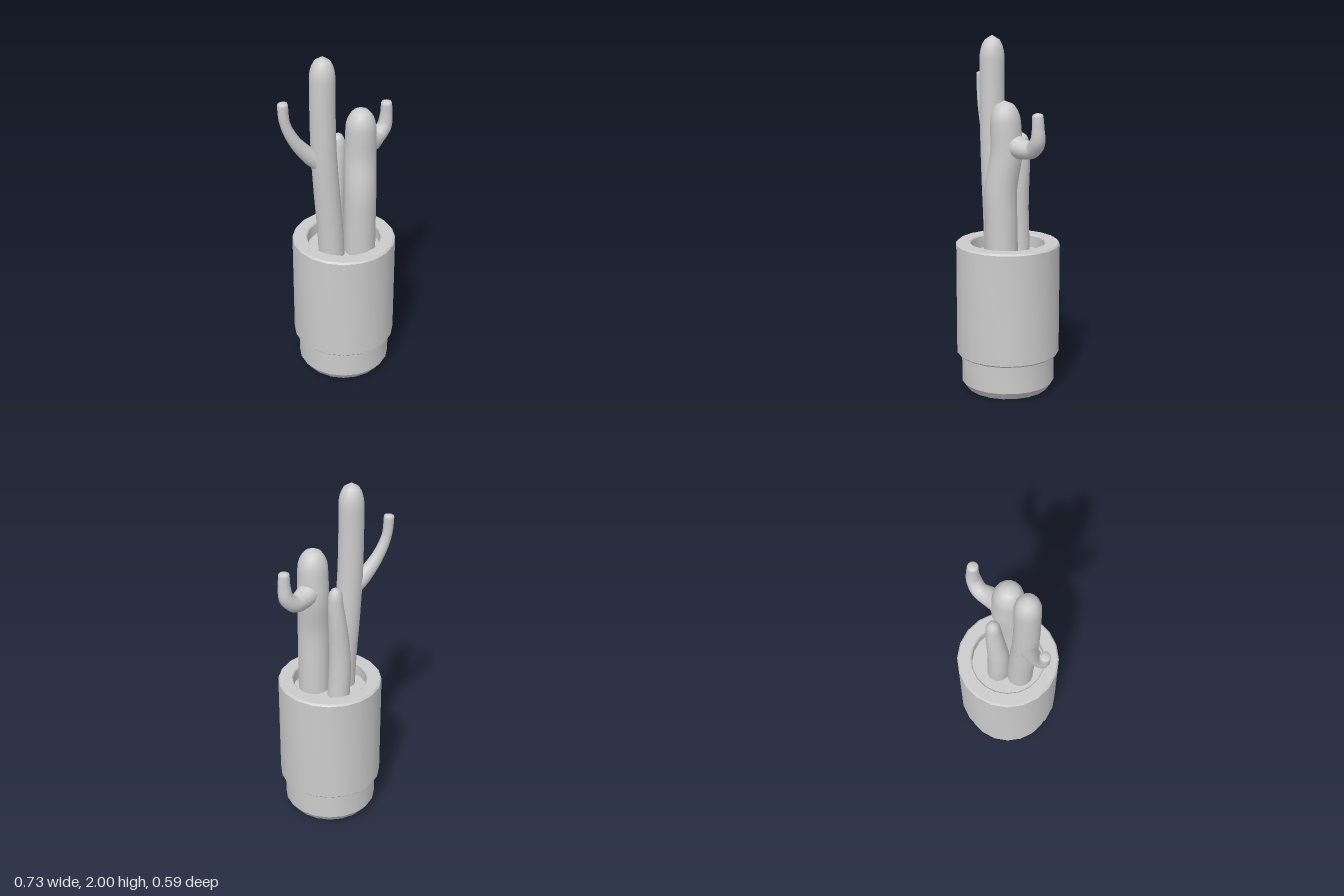
import * as THREE from 'three';
import { mergeVertices, toCreasedNormals } from 'three/addons/utils/BufferGeometryUtils.js';

const material = new THREE.MeshStandardMaterial({ color: 0xcccccc });
const SIDES = 20;

function mesh(name, geometry) {
  const m = new THREE.Mesh(geometry, material);
  m.name = name;
  return m;
}

// Surface of revolution with crisp rims
function turned(name, profile) {
  const points = profile.map(([r, y]) => new THREE.Vector2(r, y));
  return mesh(name, toCreasedNormals(new THREE.LatheGeometry(points, SIDES), 0.5));
}

// Tapered stem along stations [x, y, z, radius], closed by a dome of given length
function stem(name, stations, dome, sides = 16) {
  const rings = 48;
  const curve = new THREE.CatmullRomCurve3(stations.map(([x, y, z]) => new THREE.Vector3(x, y, z)));
  const length = curve.getLength();
  const geometry = new THREE.TubeGeometry(curve, rings, 1, sides);
  const pos = geometry.attributes.position;
  const v = new THREE.Vector3();
  for (let i = 0; i <= rings; i++) {
    const u = i / rings;
    const centre = curve.getPointAt(u);
    const t = curve.getUtoTmapping(u) * (stations.length - 1);
    const k = Math.min(Math.floor(t), stations.length - 2);
    let radius = THREE.MathUtils.lerp(stations[k][3], stations[k + 1][3], t - k);
    const d = Math.max(0, (u * length - (length - dome)) / dome);
    radius *= Math.sqrt(Math.max(0, 1 - d * d));
    for (let j = 0; j <= sides; j++) {
      const n = i * (sides + 1) + j;
      v.fromBufferAttribute(pos, n).sub(centre).multiplyScalar(radius).add(centre);
      pos.setXYZ(n, v.x, v.y, v.z);
    }
  }
  geometry.deleteAttribute('uv');
  geometry.deleteAttribute('normal');
  const smooth = mergeVertices(geometry, 1e-5);
  smooth.computeVertexNormals();
  return mesh(name, smooth);
}

export function createModel() {
  const model = new THREE.Group();
  model.name = 'pottedCactus';

  // Pot: narrow foot, wide sleeve, thick rim and recessed soil
  const pot = new THREE.Group();
  pot.name = 'pot';
  pot.position.x = 0.027;
  pot.add(
    turned('potFoot', [[0, 0], [0.215, 0], [0.235, 0.008], [0.265, 0.05], [0.265, 0.215]]),
    turned('potSleeve', [
      [0.262, 0.213], [0.284, 0.213], [0.293, 0.222], [0.293, 0.85], [0.284, 0.86],
      [0.216, 0.86], [0.209, 0.852], [0.209, 0.77],
    ]),
    turned('soil', [[0.212, 0.785], [0, 0.785]]),
  );
  model.add(pot);

  // Tall cactus with one slender arm
  const tall = new THREE.Group();
  tall.name = 'tallCactus';
  tall.add(
    stem('tallStem', [
      [-0.068, 0.75, 0.015, 0.074], [-0.078, 0.95, 0.015, 0.074], [-0.1, 1.2, 0.015, 0.073],
      [-0.118, 1.45, 0.015, 0.071], [-0.124, 1.7, 0.015, 0.07], [-0.123, 2, 0.015, 0.07],
    ], 0.13),
    stem('tallArm', [
      [-0.12, 1.37, 0.01, 0.05], [-0.195, 1.438, -0.005, 0.045], [-0.28, 1.545, -0.02, 0.034],
      [-0.33, 1.66, -0.03, 0.028], [-0.341, 1.785, -0.033, 0.029],
    ], 0.018, 12),
  );

  // Stout cactus leaning back and forth, with a hooked arm
  const stout = new THREE.Group();
  stout.name = 'stoutCactus';
  stout.add(
    stem('stoutStem', [
      [0.087, 0.75, 0.07, 0.09], [0.085, 0.95, 0.073, 0.09], [0.084, 1.18, 0.075, 0.09],
      [0.1, 1.38, 0.05, 0.089], [0.1, 1.5, 0.053, 0.086], [0.095, 1.665, 0.06, 0.08],
    ], 0.12),
    stem('stoutArm', [
      [0.11, 1.44, 0.04, 0.07], [0.2, 1.41, 0.01, 0.056], [0.265, 1.415, -0.016, 0.046],
      [0.315, 1.465, -0.018, 0.042], [0.325, 1.54, -0.015, 0.034], [0.323, 1.62, -0.012, 0.03],
    ], 0.018, 12),
  );

  // Small pointed cactus at the rear
  const small = stem('smallCactus', [
    [0.022, 0.75, -0.075, 0.064], [0.012, 0.92, -0.075, 0.064], [0.014, 1.08, -0.075, 0.06],
    [0.032, 1.25, -0.08, 0.051], [0.045, 1.38, -0.081, 0.042], [0.046, 1.475, -0.082, 0.036],
  ], 0.07);

  model.add(tall, stout, small);
  return model;
}
